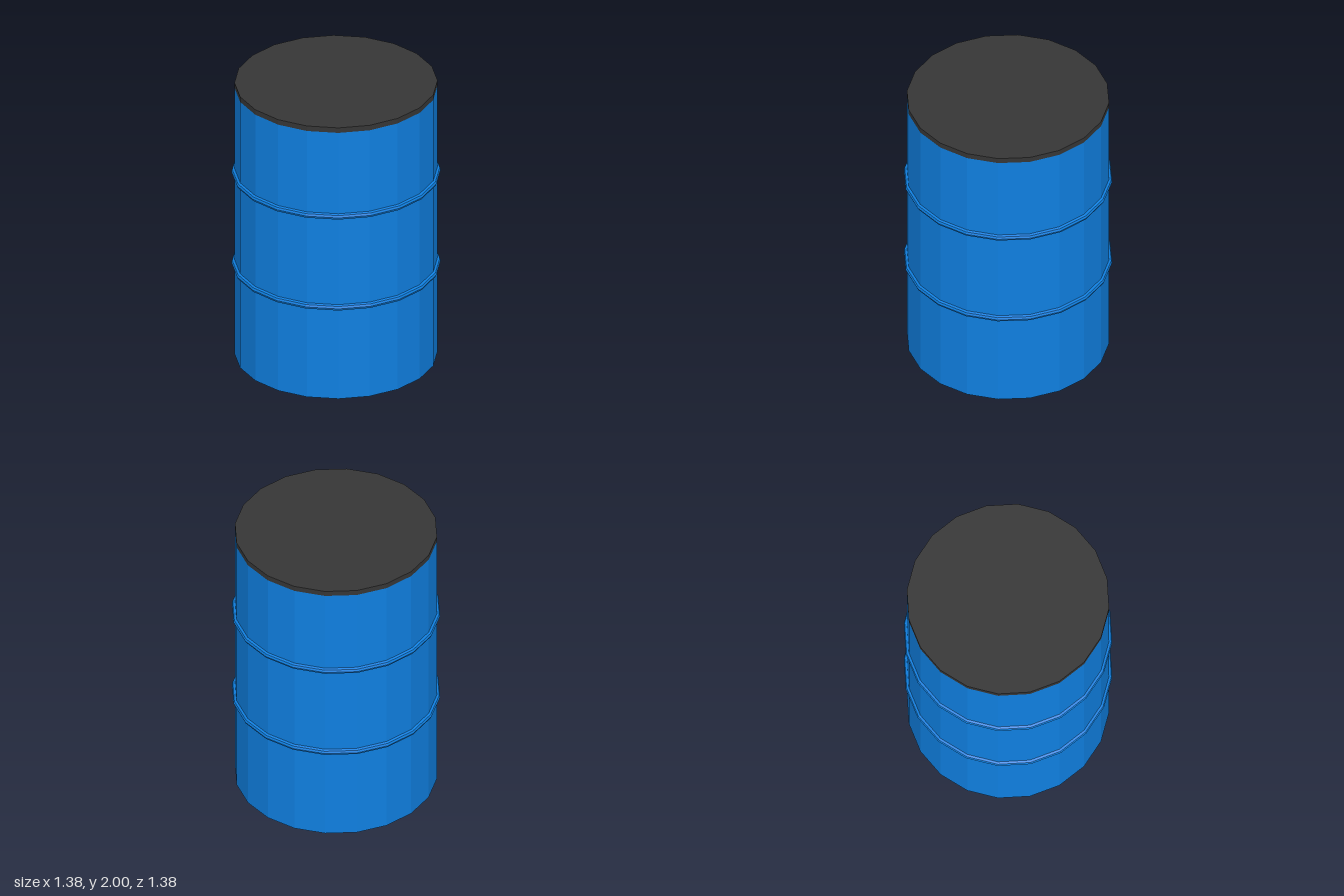
import * as THREE from 'three';

const SIDES = 20;
const RADIUS = 0.667;
const HEIGHT = 2;
const LID = 0.037;

export function createModel() {
  const model = new THREE.Group();
  model.name = 'barrel';

  const blue = new THREE.MeshStandardMaterial({ color: 0x0f7fe0, flatShading: true });
  blue.name = 'blue paint';
  const dark = new THREE.MeshStandardMaterial({ color: 0x363636, flatShading: true });
  dark.name = 'dark lid';

  const add = (name, geometry, material, y) => {
    const mesh = new THREE.Mesh(geometry, material);
    mesh.name = name;
    mesh.position.y = y;
    model.add(mesh);
  };

  // Drum body and the lid resting on it
  const bodyHeight = HEIGHT - LID;
  add('body', new THREE.CylinderGeometry(RADIUS, RADIUS, bodyHeight, SIDES), blue, bodyHeight / 2);
  add('lid', new THREE.CylinderGeometry(RADIUS, RADIUS, LID, SIDES), dark, HEIGHT - LID / 2);

  // Two hoops around the body
  const hoop = new THREE.TorusGeometry(RADIUS, 0.021, 8, SIDES).rotateX(-Math.PI / 2);
  add('lowerHoop', hoop, blue, 0.674);
  add('upperHoop', hoop, blue, 1.345);

  return model;
}
